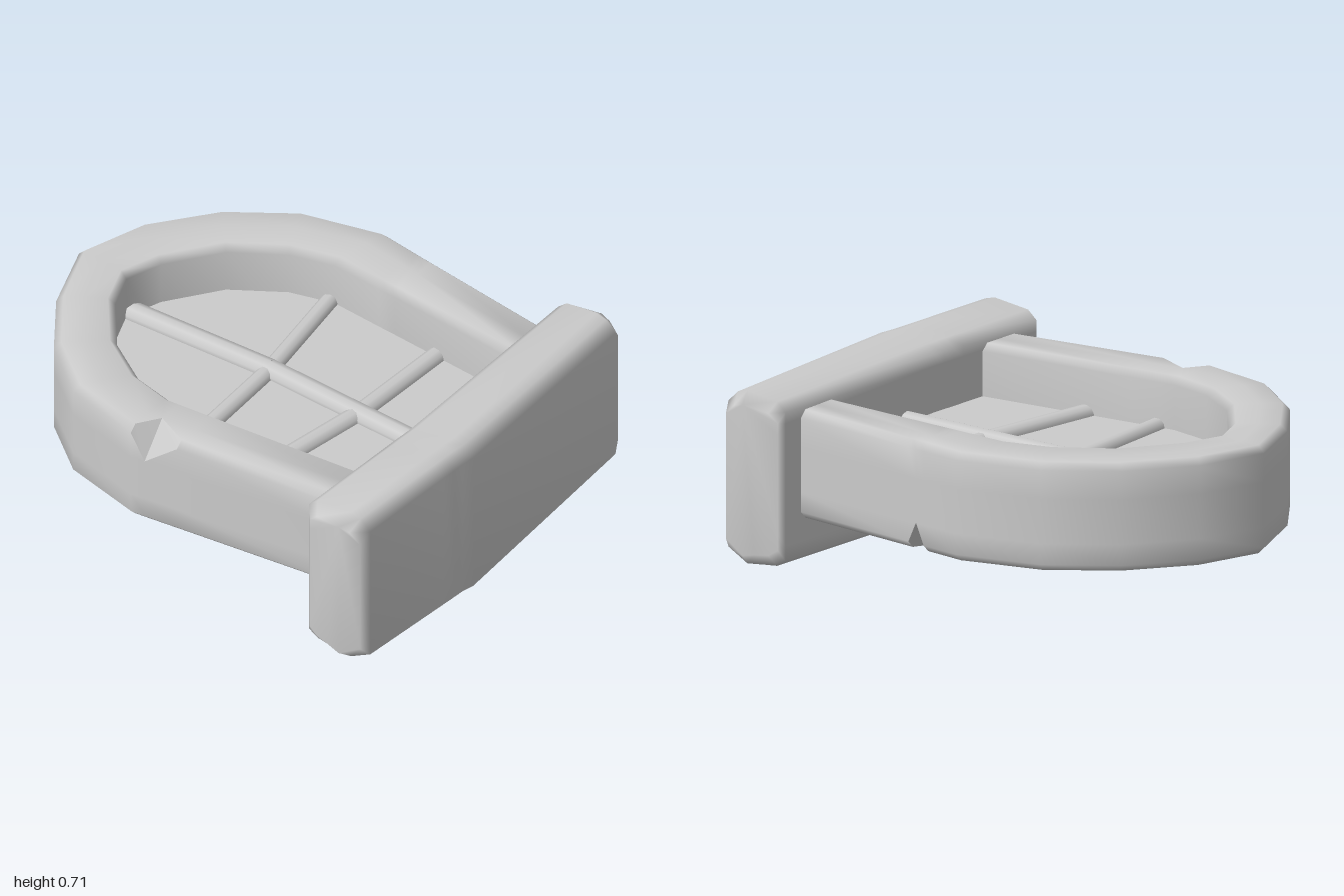
import * as THREE from 'three';
import { mergeGeometries } from 'three/addons/utils/BufferGeometryUtils.js';

// Edges of a 12-point section that can carry a chip
const TOP = 2, BOTTOM = 10;

// Collapse a bevel onto its neighbours so the edge is notched at this station
function chipSection(points, edge) {
  if (edge) {
    const next = edge + 1;
    points[edge] = points[edge - 1];
    points[next] = points[(next + 1) % points.length];
    points.chip = edge;
  }
  return points;
}

function toGeometry(positions, index) {
  const geo = new THREE.BufferGeometry();
  geo.setAttribute('position', new THREE.Float32BufferAttribute(positions, 3));
  geo.setIndex(index);
  geo.computeVertexNormals();
  return geo;
}

// Skin a run of closed cross-sections; chip facets keep their own flat normals
function loft(sections) {
  const n = sections[0].length, index = [], facets = [];
  for (let i = 0; i < sections.length - 1; i++) {
    const s = sections[i], t = sections[i + 1];
    for (let j = 0; j < n; j++) {
      const k = (j + 1) % n;
      if (s.chip === j || t.chip === j) {
        facets.push(toGeometry([s[j], s[k], t[k], t[j]].flat(), [0, 1, 2, 0, 2, 3]));
        continue;
      }
      const a = i * n + j, b = i * n + k;
      index.push(a, b, b + n, a, b + n, a + n);
    }
  }
  // End caps, fanned from the crown of the section
  const last = (sections.length - 1) * n, root = 4;
  for (let j = 1; j < n - 1; j++) {
    const p = (root + j) % n, q = (root + j + 1) % n;
    index.push(root, q, p, last + root, last + p, last + q);
  }
  return mergeGeometries([toGeometry(sections.flat(2), index), ...facets]);
}

// Frame stations: outer x, z, inner x, z, chipped edge
const FRAME = [
  [-0.662, 0.74, -0.45, 0.74],
  [-0.75, 0.03, -0.513, 0.03],
  [-0.768, -0.11, -0.525, -0.11, TOP],
  [-0.775, -0.17, -0.53, -0.17],
  [-0.70, -0.50, -0.49, -0.35],
  [-0.53, -0.72, -0.37, -0.54],
  [-0.29, -0.89, -0.17, -0.70],
  [0, -1, -0.02, -0.76],
  [0.28, -0.91, 0.13, -0.71],
  [0.525, -0.72, 0.34, -0.56],
  [0.70, -0.47, 0.47, -0.36],
  [0.785, -0.13, 0.52, -0.18],
  [0.762, 0.04, 0.505, 0.04],
  [0.757, 0.08, 0.502, 0.08, BOTTOM],
  [0.752, 0.12, 0.50, 0.12],
  [0.675, 0.74, 0.458, 0.74],
];

function frameSection([ox, oz, ix, iz, edge]) {
  const lo = 0.213, hi = 0.64, b = 0.028, deep = 0.11;
  const width = Math.hypot(ix - ox, iz - oz);
  const at = (d, y) => [ox + (ix - ox) * d / width, y, oz + (iz - oz) * d / width];
  return chipSection([
    at(0, lo + deep), at(0, hi - 0.14), at(0, hi - b), at(b, hi),
    at(deep, hi), at(width - b, hi), at(width, hi - b), at(width, lo + b),
    at(width - b, lo), at(deep, lo), at(b, lo), at(0, lo + b),
  ], edge);
}

// Sill stations: x, bottom, top, back, front, end bulge, chipped edge
const SILL = [
  [-0.836, 0.075, 0.675, 0.70, 0.95, -0.03],
  [-0.775, 0.03, 0.718, 0.675, 0.965, 0],
  [-0.34, 0.012, 0.717, 0.692, 0.985, 0],
  [-0.28, 0.01, 0.717, 0.694, 0.988, 0, BOTTOM],
  [-0.23, 0.008, 0.717, 0.697, 0.99, 0],
  [-0.17, 0.003, 0.717, 0.70, 0.998, 0],
  [0.78, 0.03, 0.712, 0.683, 0.955, 0],
  [0.832, 0.075, 0.67, 0.70, 0.94, 0.025],
];

function sillSection([x, lo, hi, back, front, bulge, edge]) {
  const b = 0.04, deep = 0.1, crown = front - 0.09;
  const at = (y, z) => [x - bulge * Math.abs(z - crown) / (crown - back), y, z];
  return chipSection([
    at(lo + deep, back), at(hi - 0.10, back), at(hi - 0.055, back), at(hi - 0.02, back + b),
    at(hi, crown), at(hi - 0.012, front - 0.045), at(hi - 0.055, front),
    at(lo + 0.05, front), at(lo, crown), at(lo + 0.009, back + deep),
    at(lo + 0.015, back + b), at(lo + b, back),
  ], edge);
}

export function createModel() {
  const model = new THREE.Group();
  const solid = new THREE.MeshStandardMaterial({ color: 0xcccccc });
  const thin = new THREE.MeshStandardMaterial({ color: 0xcccccc, side: THREE.DoubleSide });
  const add = (name, geo, mat = solid) => {
    const mesh = new THREE.Mesh(geo, mat);
    mesh.name = name;
    model.add(mesh);
  };

  // Arched frame and heavy sill, with small chips in the edges
  add('archedFrame', loft(FRAME.map(frameSection)));
  add('sill', loft(SILL.map(sillSection)));

  // Pane spanning the opening
  const paneY = 0.435;
  const outline = new THREE.Shape(FRAME.map(([, , x, z]) => new THREE.Vector2(x * 1.02, z)));
  const pane = new THREE.ShapeGeometry(outline);
  pane.rotateX(Math.PI / 2);
  pane.translate(0, paneY, 0);
  add('pane', pane, thin);

  // Slightly crooked glazing bars, each a run of straight rods
  const bar = (name, radius, points) => {
    const rods = [];
    for (let i = 0; i < points.length - 1; i++) {
      const a = new THREE.Vector3(points[i][0], paneY, points[i][1]);
      const b = new THREE.Vector3(points[i + 1][0], paneY, points[i + 1][1]);
      const dir = b.clone().sub(a);
      const rod = new THREE.CylinderGeometry(radius, radius, dir.length(), 10);
      rod.applyQuaternion(new THREE.Quaternion().setFromUnitVectors(
        new THREE.Vector3(0, 1, 0), dir.normalize()));
      rod.translate(...a.add(b).multiplyScalar(0.5).toArray());
      rods.push(rod);
    }
    add(name, mergeGeometries(rods));
  };
  bar('uprightBar', 0.047, [[0.008, -0.80], [0.036, -0.12], [0.02, 0.30], [0.004, 0.74]]);
  bar('upperCrossBar', 0.036, [[-0.55, -0.088], [0.03, -0.122], [0.55, -0.207]]);
  bar('lowerCrossBar', 0.039, [[-0.53, 0.225], [0.02, 0.31], [0.52, 0.328]]);

  return model;
}
